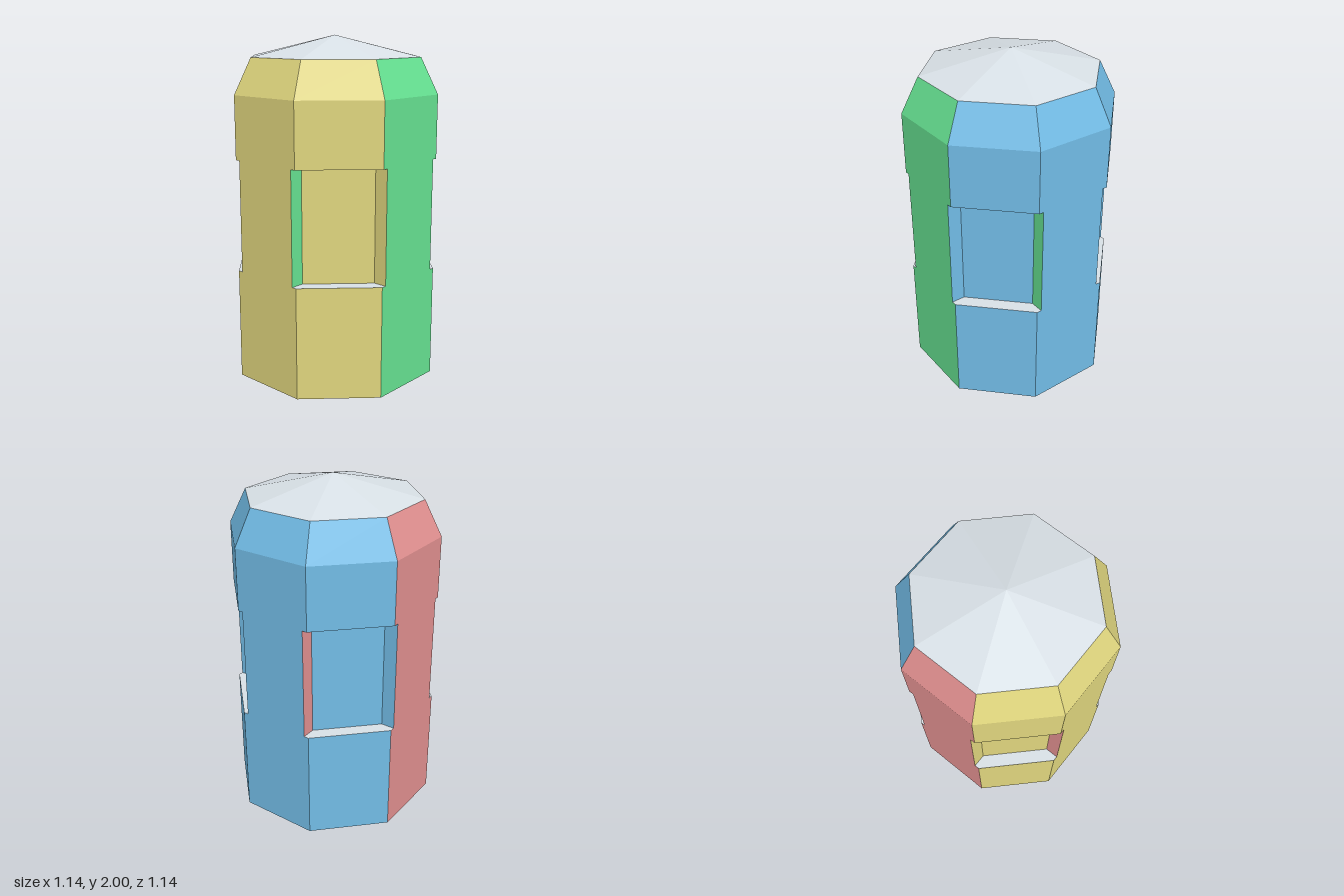
import * as THREE from 'three';

const paint = (name, color) => {
  const m = new THREE.MeshStandardMaterial({ color });
  m.name = name;
  return m;
};

export function createModel() {
  const yellow = paint('yellow', 0xe0d67e);
  const blue = paint('blue', 0x72bce6);
  const green = paint('green', 0x66e292);
  const red = paint('red', 0xe29090);
  const grey = paint('pale grey', 0xd8e0e6);
  const dark = paint('dark slate', 0x5a5d72);

  const model = new THREE.Group();
  model.name = 'octagonalTower';

  // Main sizes: flat radius and half face width, at the wall and at the roof edge
  const R = 0.57, W = 0.236, r = 0.476, w = 0.197;
  const yLow = 0.655, yHigh = 1.31, yWall = 1.675, yEave = 1.88, yTop = 2;
  // Pocket cut into each diagonal face: side wall position and depth line
  const P = 0.207, Q = 0.49;

  // Flat convex polygon, corners counter-clockwise seen from outside
  const face = (name, material, corners) => {
    const pos = [];
    for (let i = 1; i < corners.length - 1; i++) pos.push(...corners[0], ...corners[i], ...corners[i + 1]);
    const g = new THREE.BufferGeometry();
    g.setAttribute('position', new THREE.Float32BufferAttribute(pos, 3));
    g.computeVertexNormals();
    const mesh = new THREE.Mesh(g, material);
    mesh.name = name;
    model.add(mesh);
  };

  // Upright or sloping strip from plan segment a-b at y0 to c-d at y1
  const strip = (name, m, a, b, y0, y1, c = a, d = b) =>
    face(name, m, [[a[0], y0, a[1]], [b[0], y0, b[1]], [d[0], y1, d[1]], [c[0], y1, c[1]]]);

  // Colour follows the direction a wall faces; diagonals take the front or back colour
  const sides = [yellow, green, blue, red];
  const diagonals = [yellow, blue, blue, yellow];

  for (let k = 0; k < 4; k++) {
    // Quarter turn about the axis, front first, then left, back, right
    const turn = ([x, z]) => [[x, z], [z, -x], [-x, -z], [-z, x]][k];
    const pts = (...list) => list.map(turn);
    const [a, b, c] = pts([-W, R], [W, R], [R, W]);
    const [ta, tb, tc] = pts([-w, r], [w, r], [r, w]);
    const [na, nb] = pts([-P, R], [P, R]);
    const [p0, p1, p2, p3] = pts([P, R], [P, Q], [Q, P], [R, P]);
    const side = sides[k], next = sides[(k + 1) % 4], diag = diagonals[k];

    // Straight face, narrower between the pockets
    strip('sideWallLower', side, a, b, 0, yLow);
    strip('sideWallMiddle', side, na, nb, yLow, yHigh);
    strip('sideWallUpper', side, a, b, yHigh, yWall);
    strip('sideBevel', side, a, b, yWall, yEave, ta, tb);

    // Diagonal face above and below its pocket
    strip('diagonalWallLower', diag, b, c, 0, yLow);
    strip('diagonalWallUpper', diag, b, c, yHigh, yWall);
    strip('diagonalBevel', diag, b, c, yWall, yEave, tb, tc);

    // Pocket walls, sill and ceiling
    strip('pocketSideA', next, p0, p1, yLow, yHigh);
    strip('pocketBack', diag, p1, p2, yLow, yHigh);
    strip('pocketSideB', side, p2, p3, yLow, yHigh);
    const outline = [p0, b, c, p3, p2, p1];
    face('pocketSill', grey, outline.map(([x, z]) => [x, yLow, z]));
    face('pocketCeiling', dark, outline.reverse().map(([x, z]) => [x, yHigh, z]));

    // Shallow pyramid roof and base
    for (const [s, e] of [[ta, tb], [tb, tc]])
      face('roofPanel', grey, [[s[0], yEave, s[1]], [e[0], yEave, e[1]], [0, yTop, 0]]);
    for (const [s, e] of [[a, b], [b, c]])
      face('basePanel', dark, [[e[0], 0, e[1]], [s[0], 0, s[1]], [0, 0, 0]]);
  }
  return model;
}
